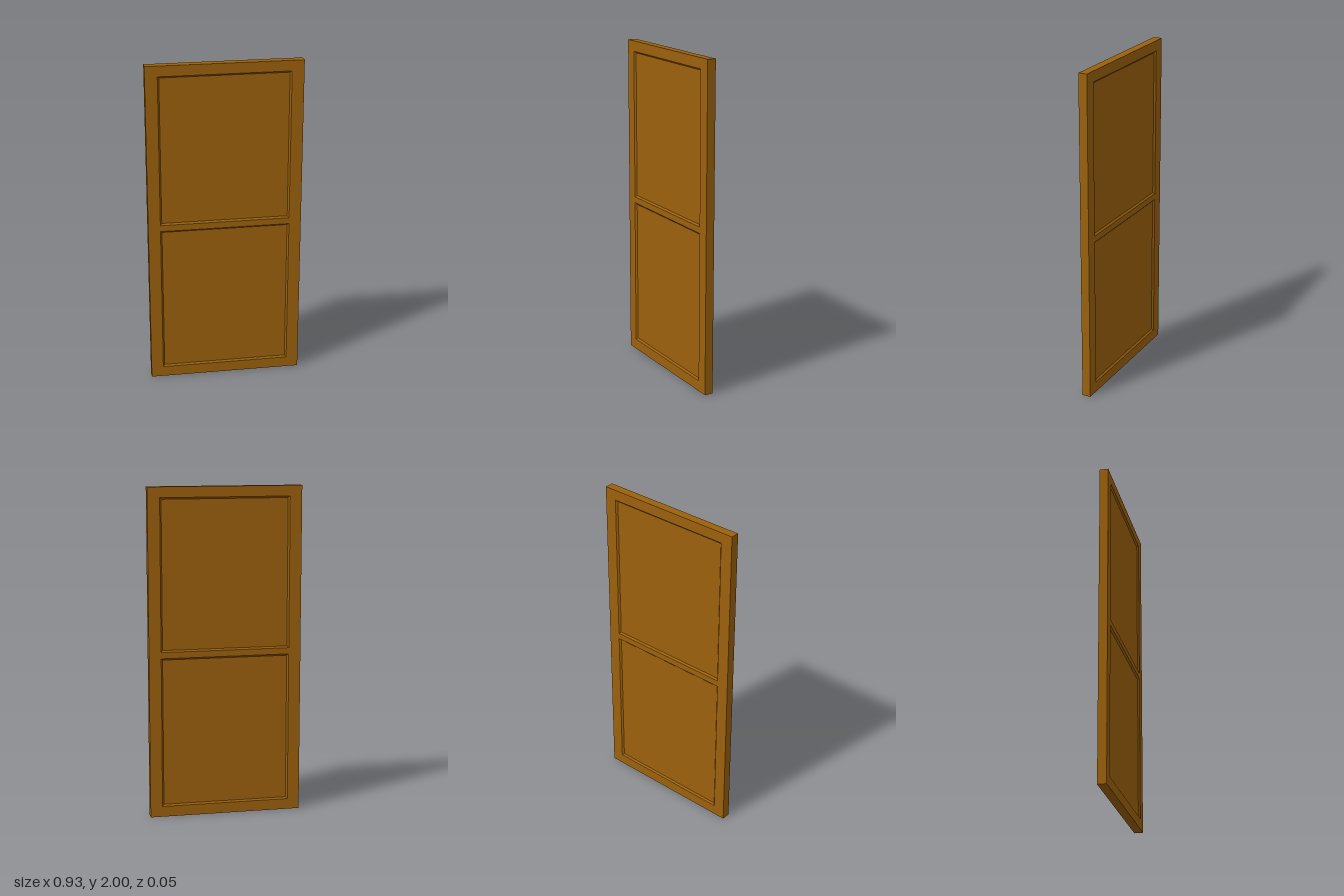
import * as THREE from 'three';

const W = 0.93, H = 2, T = 0.053;      // door leaf
const PX = 0.392;                      // half width of the panel openings
const RIM = 0.01, DEPTH = 0.01;        // sloped rim width and recess depth
const OPENINGS = [[0.065, 0.982], [1.02, 1.937]];

// Corners of a rectangle, counter-clockwise
const rect = (hx, y0, y1) => [[-hx, y0], [hx, y0], [hx, y1], [-hx, y1]];
const toPoints = (corners) => corners.map(([x, y]) => new THREE.Vector2(x, y));

// Four sloped faces running from the frame surface down to the panel
function rimGeometry(y0, y1) {
  const zo = T / 2, zi = T / 2 - DEPTH;
  const outer = rect(PX, y0, y1).map(([x, y]) => [x, y, zo]);
  const inner = rect(PX - RIM, y0 + RIM, y1 - RIM).map(([x, y]) => [x, y, zi]);
  const pos = [];
  for (let i = 0; i < 4; i++) {
    const j = (i + 1) % 4;
    pos.push(...outer[i], ...outer[j], ...inner[j], ...outer[i], ...inner[j], ...inner[i]);
  }
  const geo = new THREE.BufferGeometry();
  geo.setAttribute('position', new THREE.Float32BufferAttribute(pos, 3));
  geo.computeVertexNormals();
  return geo;
}

export function createModel() {
  const door = new THREE.Group();
  door.name = 'door';
  const wood = new THREE.MeshStandardMaterial({ color: 0x9c610c });
  const add = (name, geo) => {
    const mesh = new THREE.Mesh(geo, wood);
    mesh.name = name;
    door.add(mesh);
    return mesh;
  };

  // Stiles and rails as one frame with two openings
  const shape = new THREE.Shape(toPoints(rect(W / 2, 0, H)));
  for (const [y0, y1] of OPENINGS) shape.holes.push(new THREE.Path(toPoints(rect(PX, y0, y1))));
  const frame = new THREE.ExtrudeGeometry(shape, { depth: T, bevelEnabled: false });
  add('frame', frame.translate(0, 0, -T / 2));

  // Recessed panels with a sloped rim on both faces
  OPENINGS.forEach(([y0, y1], i) => {
    const label = i ? 'upper' : 'lower';
    const panel = new THREE.BoxGeometry(2 * (PX - RIM), y1 - y0 - 2 * RIM, T - 2 * DEPTH);
    add(label + 'Panel', panel.translate(0, (y0 + y1) / 2, 0));
    add(label + 'FrontRim', rimGeometry(y0, y1));
    add(label + 'BackRim', rimGeometry(y0, y1)).rotation.y = Math.PI;
  });
  return door;
}
